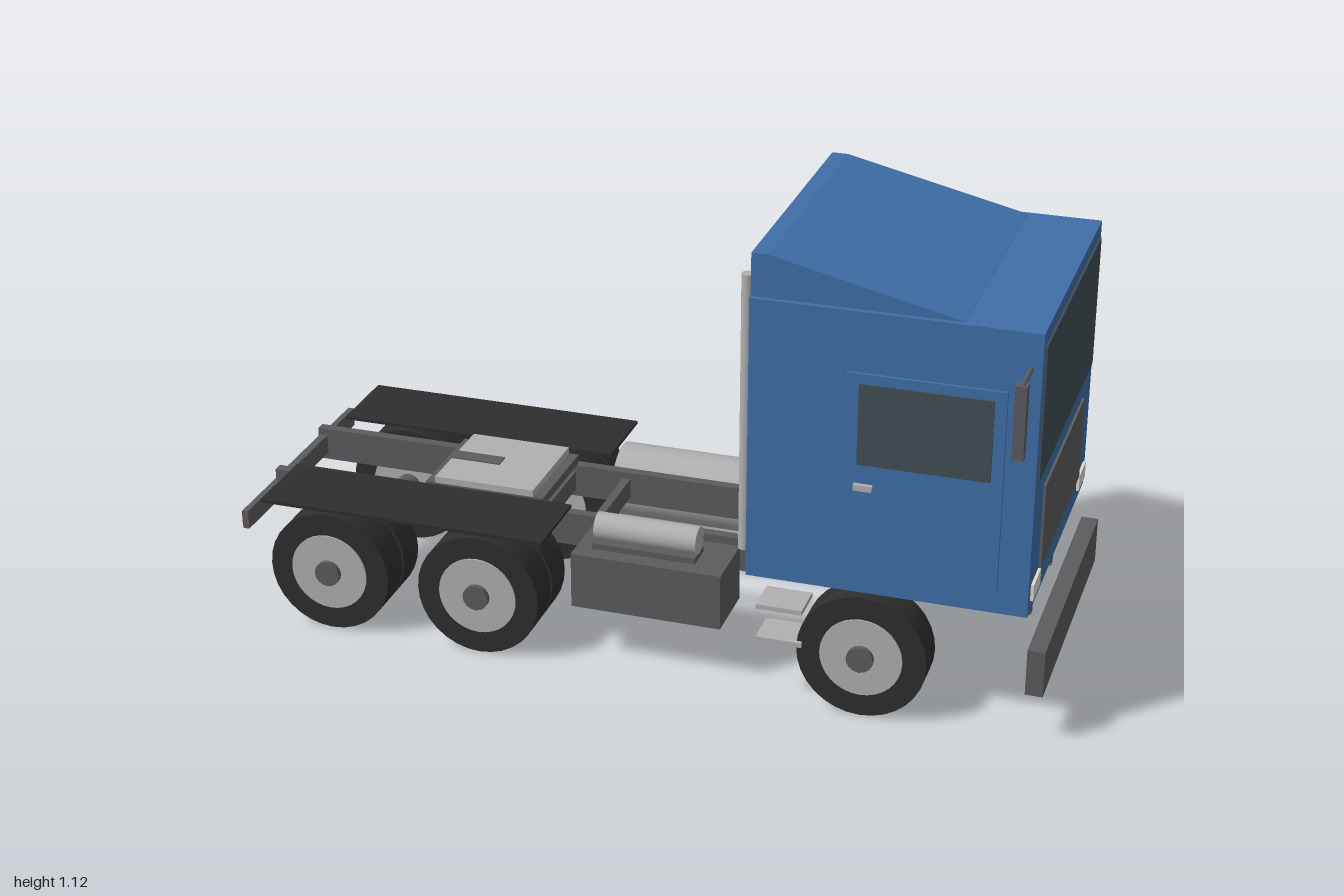
import * as THREE from 'three';

const mat = (color) => new THREE.MeshStandardMaterial({ color });
const blue = mat(0x3f6fa8), frameGrey = mat(0x5c5c5e), rubber = mat(0x2e2e2e), glass = mat(0x414e54);
const metal = mat(0xb0b0b0), lamp = mat(0xdedccb), red = mat(0x8a1c1c);

export function createModel() {
  const root = new THREE.Group();
  const add = (name, geo, material) => {
    const mesh = new THREE.Mesh(geo, material);
    mesh.name = name;
    root.add(mesh);
    return mesh;
  };
  // box given by its extents along x, y and z
  const box = (name, m, x0, x1, y0, y1, z0, z1) =>
    add(name, new THREE.BoxGeometry(x1 - x0, y1 - y0, z1 - z0), m)
      .position.set((x0 + x1) / 2, (y0 + y1) / 2, (z0 + z1) / 2);
  // the same box on both sides of the truck
  const pair = (name, m, x0, x1, y0, y1, z0, z1) => {
    box(name + 'Left', m, x0, x1, y0, y1, z0, z1);
    box(name + 'Right', m, x0, x1, y0, y1, -z1, -z0);
  };
  // cylinder between two points
  const rod = (name, m, r, a, b, sides = 24) => {
    const p = new THREE.Vector3(...a), q = new THREE.Vector3(...b), d = q.clone().sub(p);
    const mesh = add(name, new THREE.CylinderGeometry(r, r, d.length(), sides), m);
    mesh.position.copy(p).add(q).multiplyScalar(0.5);
    mesh.quaternion.setFromUnitVectors(new THREE.Vector3(0, 1, 0), d.normalize());
  };

  // chassis ladder
  pair('frameRail', frameGrey, -0.99, 0.925, 0.217, 0.302, 0.114, 0.139);
  for (const x of [-0.975, -0.575, -0.293, -0.148, 0.285, 0.6, 0.9])
    box('crossMember', frameGrey, x - 0.01, x + 0.01, 0.235, 0.285, -0.115, 0.115);
  box('frontBumper', frameGrey, 0.957, 0.998, 0.127, 0.242, -0.344, 0.344);
  box('rearBar', frameGrey, -0.997, -0.982, 0.222, 0.27, -0.315, 0.315);
  pair('tailLight', red, -1, -0.984, 0.226, 0.266, 0.25, 0.312);

  // wheels and axles
  const wheelY = 0.155;
  const wheel = (x, z0, z1, s) => {
    rod('tire', rubber, 0.154, [x, wheelY, s * z0], [x, wheelY, s * z1], 32);
    rod('rim', metal, 0.098, [x, wheelY, s * (z0 - 0.004)], [x, wheelY, s * (z1 + 0.004)], 32);
  };
  for (const x of [-0.757, -0.37, 0.575]) {
    const front = x > 0;
    for (const s of [1, -1]) {
      wheel(x, 0.255, 0.343, s);
      if (!front) wheel(x, 0.156, 0.244, s);
      rod('hub', frameGrey, 0.032, [x, wheelY, s * 0.24], [x, wheelY, s * 0.36], 16);
    }
    rod('axle', frameGrey, front ? 0.025 : 0.032, [x, wheelY, -0.3], [x, wheelY, 0.3], 16);
    if (!front)
      add('differential', new THREE.SphereGeometry(0.068, 24, 16), frameGrey).position.set(x, wheelY, 0);
  }
  rod('rearDriveShaft', frameGrey, 0.013, [-0.757, 0.16, 0], [-0.37, 0.185, 0], 12);
  rod('mainDriveShaft', frameGrey, 0.013, [-0.37, 0.165, 0], [0.25, 0.21, 0], 12);

  // rear fenders and coupling plate
  pair('rearFender', rubber, -0.925, -0.2, 0.322, 0.33, 0.146, 0.353);
  box('couplingBase', frameGrey, -0.587, -0.28, 0.302, 0.325, -0.128, 0.128);
  box('couplingPlate', metal, -0.562, -0.306, 0.325, 0.342, -0.128, 0.128);
  box('couplingSlot', frameGrey, -0.564, -0.435, 0.326, 0.345, -0.02, 0.02);

  // side equipment
  rod('fuelTank', metal, 0.093, [-0.2, 0.222, -0.239], [0.166, 0.222, -0.239], 32);
  box('batteryBox', frameGrey, -0.145, 0.225, 0.145, 0.285, 0.145, 0.305);
  box('airTankBase', frameGrey, -0.105, 0.15, 0.285, 0.3, 0.195, 0.265);
  rod('airTank', metal, 0.034, [-0.103, 0.33, 0.228], [0.15, 0.33, 0.228]);
  rod('exhaustStack', metal, 0.015, [0.268, 0.345, 0.255], [0.268, 1.032, 0.255], 16);
  for (const y of [0.165, 0.25]) pair('step', metal, 0.325, 0.435, y - 0.006, y + 0.006, 0.26, 0.353);

  // cab body and sloping roof fairing
  box('cab', blue, 0.3, 0.953, 0.33, 1.016, -0.355, 0.355);
  const side = new THREE.Shape([[0.3, 1.01], [0.8, 1.01], [0.775, 1.018], [0.338, 1.118], [0.3, 1.118]]
    .map(([x, y]) => new THREE.Vector2(x, y)));
  add('roofFairing', new THREE.ExtrudeGeometry(side, { depth: 0.686, bevelEnabled: false }), blue)
    .position.z = -0.343;

  // cab front
  box('windshield', glass, 0.94, 0.958, 0.66, 0.982, -0.335, 0.335);
  box('grille', frameGrey, 0.94, 0.959, 0.4, 0.607, -0.243, 0.243);
  pair('headlight', lamp, 0.94, 0.96, 0.36, 0.4, 0.245, 0.33);

  // doors
  pair('door', blue, 0.525, 0.883, 0.39, 0.873, 0.35, 0.363);
  pair('doorWindow', glass, 0.555, 0.856, 0.655, 0.85, 0.355, 0.367);
  pair('doorHandle', metal, 0.55, 0.593, 0.594, 0.608, 0.36, 0.375);

  // mirrors
  for (const s of [1, -1])
    rod('mirrorArm', frameGrey, 0.006, [0.928, 0.932, s * 0.345], [0.928, 0.932, s * 0.45], 8);
  pair('mirror', frameGrey, 0.914, 0.94, 0.762, 0.935, 0.432, 0.458);

  return root;
}
